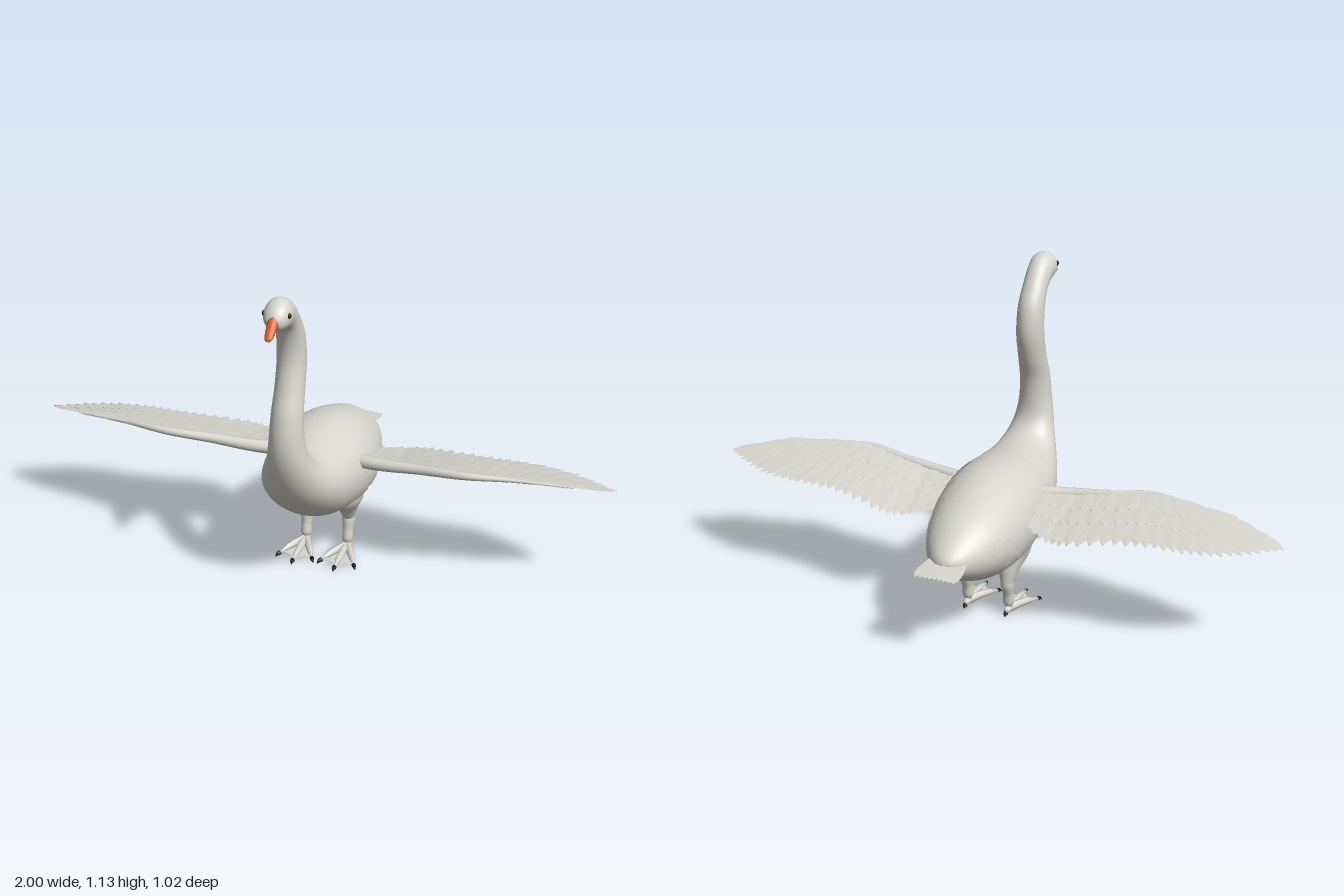
import * as THREE from 'three';
import { mergeGeometries } from 'three/addons/utils/BufferGeometryUtils.js';

const V = (x, y, z) => new THREE.Vector3(x, y, z);
const paint = (name, color, side = THREE.FrontSide) => {
  const m = new THREE.MeshStandardMaterial({ color, side });
  m.name = name;
  return m;
};

// Mesh from a grid of points; closed grids wrap around in the second direction
function grid(rows, cols, point, closed = false) {
  const pos = [], idx = [], n = closed ? cols : cols + 1;
  for (let i = 0; i <= rows; i++)
    for (let j = 0; j < n; j++) pos.push(...point(i / rows, j / cols).toArray());
  for (let i = 0; i < rows; i++)
    for (let j = 0; j < cols; j++) {
      const a = i * n + j, b = i * n + (j + 1) % n;
      idx.push(a, a + n, b, b, a + n, b + n);
    }
  const g = new THREE.BufferGeometry();
  g.setAttribute('position', new THREE.Float32BufferAttribute(pos, 3));
  g.setIndex(idx);
  g.computeVertexNormals();
  return g;
}

// Smooth skin through sections [bottom z, bottom y, top z, top y, half width]
function skin(sections) {
  const low = new THREE.CatmullRomCurve3(sections.map(s => V(s[4], s[1], s[0])));
  const high = new THREE.CatmullRomCurve3(sections.map(s => V(s[4], s[3], s[2])));
  return (t, angle, scale = 1) => {
    const b = low.getPoint(t), h = high.getPoint(t);
    const c = Math.cos(angle) * scale / 2;
    return V(Math.sin(angle) * scale * Math.max(b.x, 0.001),
      (b.y + h.y) / 2 + (h.y - b.y) * c, (b.z + h.z) / 2 + (h.z - b.z) * c);
  };
}
const loft = (surface, rows, cols) =>
  grid(rows, cols, (t, u) => surface(t, u * Math.PI * 2), true);

// Round limb with a radius for each path point
function limb(points, radii, rows = 20, sides = 12) {
  const curve = new THREE.CatmullRomCurve3(points.map(p => V(...p)));
  const g = new THREE.TubeGeometry(curve, rows, 1, sides);
  const p = g.attributes.position, v = V(0, 0, 0);
  for (let i = 0; i <= rows; i++) {
    const c = curve.getPointAt(i / rows), f = i / rows * (radii.length - 1);
    const k = Math.min(Math.floor(f), radii.length - 2);
    const r = THREE.MathUtils.lerp(radii[k], radii[k + 1], f - k);
    for (let j = 0; j <= sides; j++) {
      const n = i * (sides + 1) + j;
      v.fromBufferAttribute(p, n).sub(c).multiplyScalar(r).add(c);
      p.setXYZ(n, v.x, v.y, v.z);
    }
  }
  g.computeVertexNormals();
  return g;
}

// Outline of a feather: half width along its length
const featherWidth = s => s < 0.65 ? 0.6 + 0.4 * s / 0.65
  : Math.sqrt(Math.max(0, 1 - ((s - 0.65) / 0.35) ** 2));

// Thin feather between two plan points [x, z], laid on a height rule
function feather(root, tip, width, height) {
  const dx = tip[0] - root[0], dz = tip[1] - root[1], len = Math.hypot(dx, dz);
  return grid(9, 2, (s, u) => {
    const off = (u - 0.5) * width * featherWidth(s);
    const x = root[0] + dx * s - dz / len * off, z = root[1] + dz * s + dx / len * off;
    return V(x, height(x, z) + (u === 0.5 ? 0.002 : 0), z);
  });
}

export function createModel() {
  const goose = new THREE.Group();
  goose.name = 'goose';
  const white = paint('plumage', 0xd6d5cd);
  const sheet = paint('feathers', 0xd6d5cd, THREE.DoubleSide);
  const orange = paint('beak orange', 0xd0602c);
  const black = paint('black', 0x1c1a18);
  const add = (name, geometry, material) => {
    const m = new THREE.Mesh(geometry, material);
    m.name = name;
    goose.add(m);
  };

  // Body, neck and head in one skin, from tail to face
  const sections = [
    [-0.43, 0.33, -0.43, 0.335, 0.002], [-0.422, 0.305, -0.422, 0.352, 0.03],
    [-0.39, 0.27, -0.395, 0.378, 0.065], [-0.30, 0.22, -0.315, 0.43, 0.118],
    [-0.20, 0.185, -0.2, 0.478, 0.152], [-0.10, 0.178, -0.08, 0.512, 0.17],
    [0.02, 0.20, 0.04, 0.52, 0.171], [0.14, 0.235, 0.13, 0.515, 0.158],
    [0.25, 0.31, 0.20, 0.513, 0.13], [0.33, 0.40, 0.247, 0.53, 0.1],
    [0.385, 0.515, 0.28, 0.57, 0.072], [0.402, 0.61, 0.29, 0.63, 0.058],
    [0.39, 0.71, 0.285, 0.71, 0.052], [0.36, 0.80, 0.26, 0.79, 0.048],
    [0.34, 0.89, 0.24, 0.88, 0.047], [0.348, 0.965, 0.253, 0.98, 0.045],
    [0.37, 1.01, 0.30, 1.055, 0.042], [0.40, 1.026, 0.345, 1.107, 0.043],
    [0.425, 1.032, 0.40, 1.132, 0.045], [0.45, 1.042, 0.442, 1.116, 0.036],
    [0.462, 1.055, 0.464, 1.09, 0.02], [0.467, 1.07, 0.467, 1.074, 0.002],
  ];
  const body = skin(sections), last = sections.length - 1;
  add('bodyNeckAndHead', loft(body, 110, 40), white);

  // Beak
  add('beak', loft(skin([
    [0.448, 1.07, 0.448, 1.075, 0.002], [0.45, 1.048, 0.452, 1.1, 0.019],
    [0.47, 1.045, 0.474, 1.082, 0.017], [0.49, 1.037, 0.496, 1.059, 0.015],
    [0.507, 1.031, 0.511, 1.043, 0.01], [0.513, 1.034, 0.513, 1.036, 0.001],
  ]), 24, 16), orange);

  // Overlapping plumage laid over the back and flanks
  const tiles = [];
  for (let row = 0; row < 6; row++) {
    const tip = 3 + row * 0.52, step = 0.36;
    for (let k = -6; k <= 6; k++) {
      const mid = (k + (row % 2) * 0.5) * step;
      if (Math.abs(mid) > 2.15 || (row === 0 && Math.abs(mid) > 1.5)) continue;
      const end = tip + Math.abs(Math.sin(k * 2.3 + row)) * 0.15;
      tiles.push(grid(8, 4, (s, u) => {
        const wide = (u - 0.5) * step * 1.15 * featherWidth(s);
        return body((end + (1 - s) * 1.15) / last, mid + wide, 0.99 + 0.055 * s);
      }));
    }
  }
  add('bodyFeathers', mergeGeometries(tiles), sheet);

  // Tail fan
  const tail = [];
  for (let k = -4; k <= 4; k++)
    tail.push(feather([k * 0.011, -0.34], [k * 0.0165, -0.508 + Math.abs(k) * 0.001], 0.036,
      (x, z) => 0.335 + (z + 0.4) * 0.13 - Math.abs(k) * 0.001));
  add('tailFeathers', mergeGeometries(tail), sheet);

  // Wing plan: feather roots along the arm, tips along the trailing edge
  const roots = new THREE.SplineCurve([[0.14, 0.04], [0.24, 0.05], [0.34, 0.065], [0.45, 0.085],
    [0.53, 0.095], [0.59, 0.085], [0.64, 0.075], [0.69, 0.06], [0.74, 0.05]]
    .map(p => new THREE.Vector2(...p)));
  const tips = new THREE.SplineCurve([[0.16, -0.14], [0.25, -0.2], [0.34, -0.212], [0.48, -0.18],
    [0.60, -0.165], [0.71, -0.163], [0.82, -0.14], [0.92, -0.09], [0.998, -0.035]]
    .map(p => new THREE.Vector2(...p)));
  const wingY = (x, z) => {
    const d = (Math.abs(x) - 0.65) / 0.35;
    return 0.412 + 0.23 * z + 0.018 * Math.max(-0.2, 1 - d * d);
  };

  for (const [side, s] of [['left', 1], ['right', -1]]) {
    // Flight feathers and shorter coverts above and below
    const layers = [['flightFeathers', 1, 30, 0.05, 0], ['longCoverts', 0.62, 26, 0.055, 0.005],
      ['shortCoverts', 0.36, 24, 0.055, 0.009], ['underCoverts', 0.5, 24, 0.055, -0.005]];
    for (const [name, reach, count, width, lift] of layers) {
      const parts = [];
      for (let i = 0; i < count; i++) {
        const t = i / (count - 1), a = roots.getPoint(t), b = tips.getPoint(t).sub(a);
        const e = b.multiplyScalar(reach).add(a);
        parts.push(feather([s * a.x, a.y], [s * e.x, e.y], width,
          (x, z) => wingY(x, z) + lift + (i % 2) * 0.0015));
      }
      add(side + 'Wing_' + name, mergeGeometries(parts), sheet);
    }
    // Wing arm along the leading edge
    const arm = [[0.1, 0.03], [0.22, 0.055], [0.36, 0.072], [0.52, 0.098], [0.66, 0.072],
      [0.78, 0.05], [0.87, 0.03]];
    add(side + 'WingArm', limb(arm.map(([x, z]) => [s * x, wingY(x, z), z]),
      [0.026, 0.021, 0.017, 0.014, 0.01, 0.006, 0.001], 36), white);

    // Eye
    const eye = new THREE.SphereGeometry(0.009, 16, 12);
    eye.scale(0.6, 1, 1).translate(s * 0.041, 1.088, 0.428);
    add(side + 'Eye', eye, black);

    // Thigh, shank and foot
    const x = s * 0.075;
    add(side + 'Thigh', limb([[x, 0.29, -0.03], [x, 0.23, -0.045], [x, 0.175, -0.07], [x, 0.12, -0.086]],
      [0.07, 0.064, 0.038, 0.02]), white);
    add(side + 'Shank', limb([[x, 0.15, -0.082], [x, 0.13, -0.084], [x, 0.075, -0.074], [x, 0.02, -0.066],
      [x, 0.008, -0.065]], [0.02, 0.023, 0.018, 0.019, 0.002]), white);
    const toes = [[0, 0.078], [0.058, 0.045], [-0.058, 0.045], [0, -0.094]];
    const toeParts = [], claws = [];
    for (const [dx, z] of toes) {
      const end = [x + dx, 0.012, z];
      toeParts.push(limb([[x, 0.02, -0.066], [x + dx * 0.5, 0.021, (z - 0.066) / 2], end,
        [x + dx * 1.03, 0.01, z + (z > 0 ? 0.004 : -0.003)]], [0.015, 0.013, 0.011, 0.001], 12, 8));
      claws.push(limb([end, [x + dx * 1.08, 0.011, z + (z > 0 ? 0.01 : -0.006)],
        [x + dx * 1.18, 0.003, z + (z > 0 ? 0.017 : -0.011)]], [0.008, 0.006, 0.0005], 6, 8));
    }
    add(side + 'Toes', mergeGeometries(toeParts), white);
    add(side + 'Claws', mergeGeometries(claws), black);
    // Webbing between the toes
    const web = new THREE.Shape();
    web.moveTo(0, -0.066);
    web.lineTo(0.056, 0.04);
    web.quadraticCurveTo(0.026, 0.03, 0, 0.07);
    web.quadraticCurveTo(-0.026, 0.03, -0.056, 0.04);
    add(side + 'Web', new THREE.ShapeGeometry(web).rotateX(Math.PI / 2).translate(x, 0.012, 0), sheet);
  }
  return goose;
}
